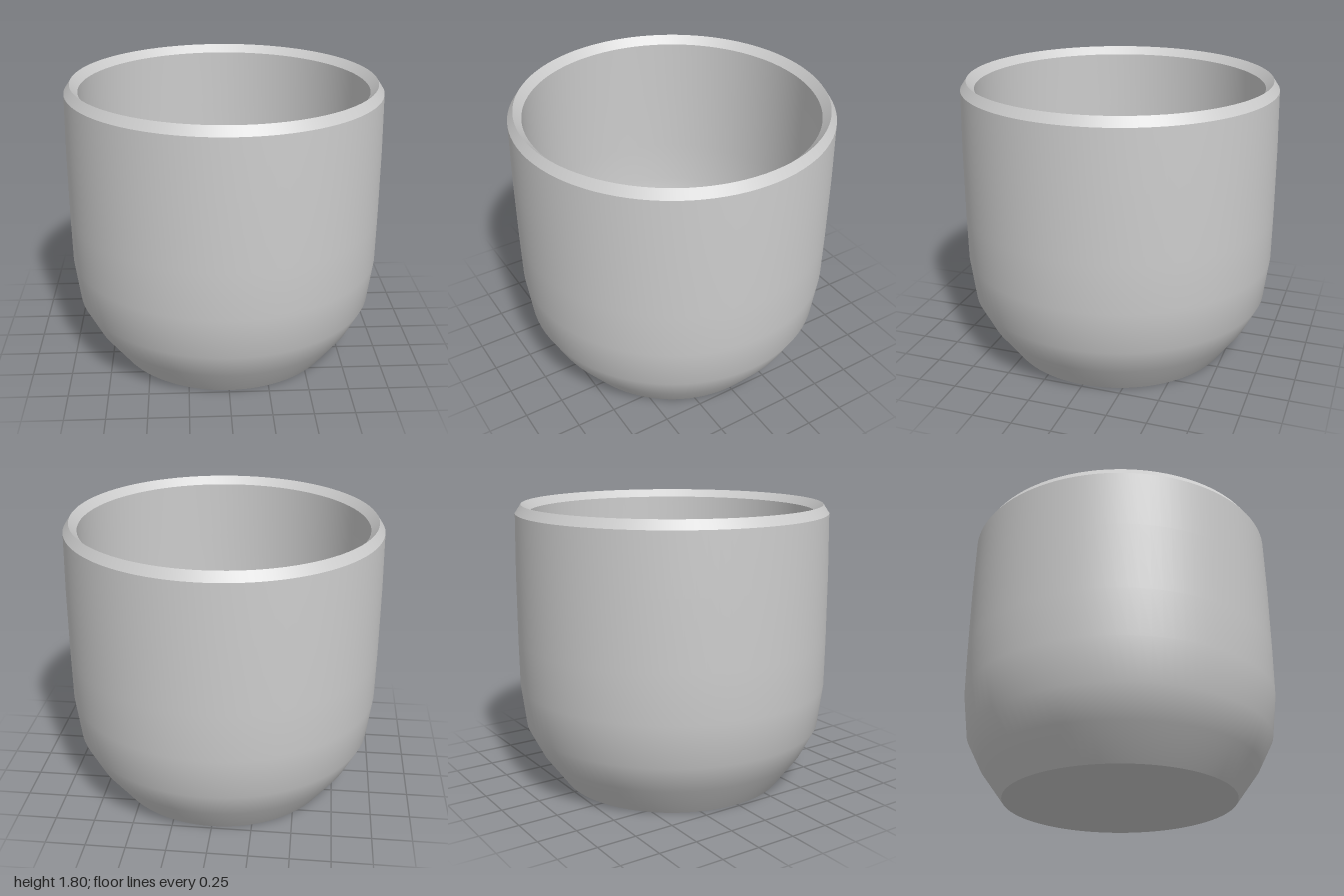
import * as THREE from 'three';

export function createModel() {
  const cup = new THREE.Group();
  cup.name = 'cup';
  const grey = new THREE.MeshStandardMaterial({ color: 0xcccccc });
  grey.name = 'plain grey';

  // Each section is its own smooth lathe, so edges between sections stay sharp
  const addSection = (name, profile) => {
    const points = profile.map(([r, y]) => new THREE.Vector2(r, y));
    const mesh = new THREE.Mesh(new THREE.LatheGeometry(points, 96), grey);
    mesh.name = name;
    cup.add(mesh);
  };

  // Profiles run from the base centre, up the outside, over the rim and down the inside
  addSection('base', [[0, 0], [0.73, 0]]);
  addSection('outerWall', [
    [0.73, 0], [0.875, 0.2], [0.965, 0.38], [0.998, 0.65], [1, 0.95], [0.998, 1.38], [0.99, 1.75],
  ]);
  addSection('outerRimBevel', [[0.99, 1.75], [0.953, 1.805]]);
  addSection('innerRimBevel', [[0.953, 1.805], [0.905, 1.755]]);
  addSection('innerWall', [
    [0.905, 1.755], [0.91, 1.38], [0.912, 0.95], [0.908, 0.66], [0.88, 0.42], [0.8, 0.25], [0.69, 0.09],
  ]);
  addSection('innerFloor', [[0.69, 0.09], [0, 0.09]]);

  return cup;
}
